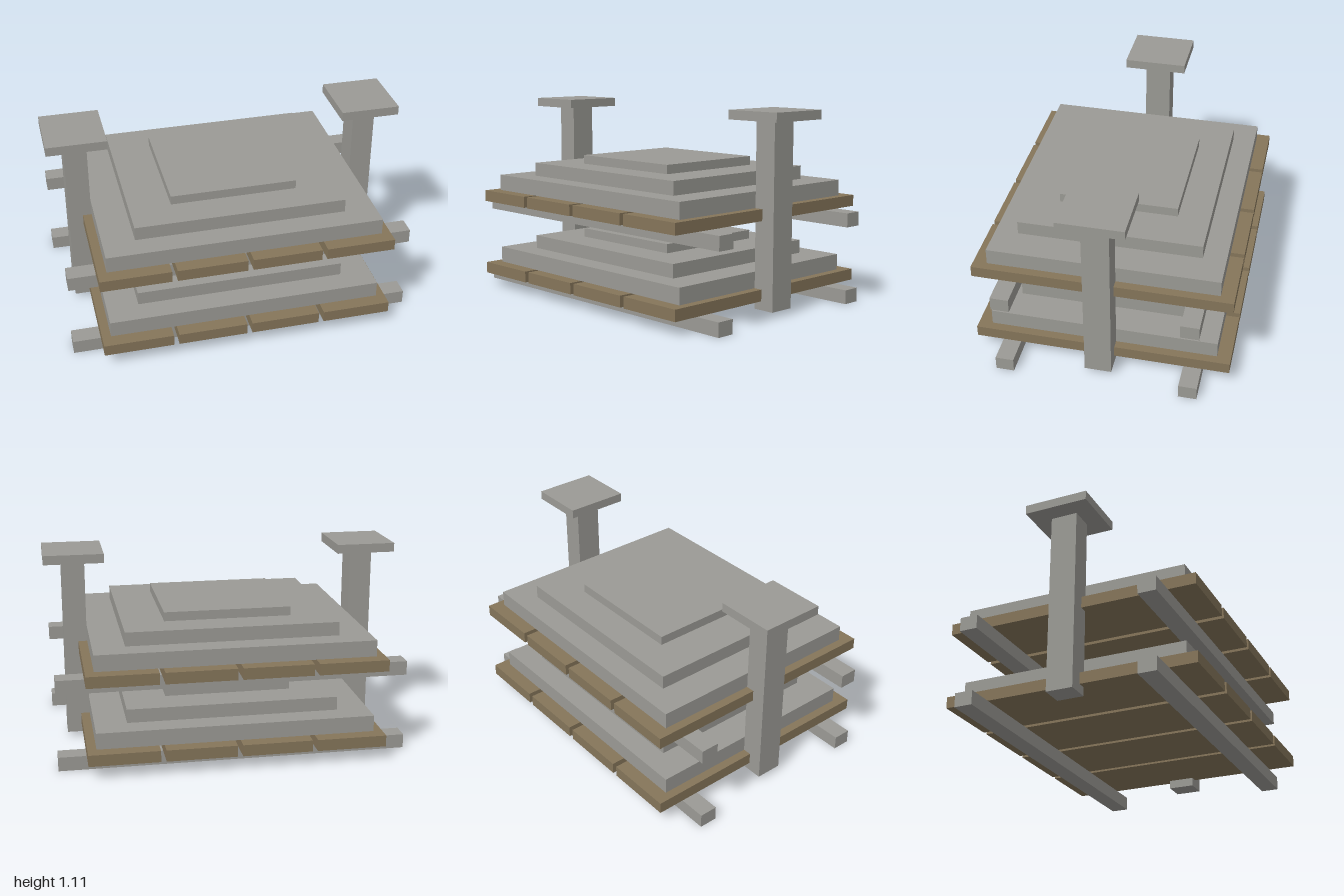
import * as THREE from 'three';

const stone = new THREE.MeshStandardMaterial({ color: 0x9b9a95 });
stone.name = 'grey';
const wood = new THREE.MeshStandardMaterial({ color: 0x85755a });
wood.name = 'brown wood';

// Box given by its centre in x and z, its size, and its bottom and top heights
function block(parent, name, material, x, z, width, depth, bottom, top) {
  const mesh = new THREE.Mesh(new THREE.BoxGeometry(width, top - bottom, depth), material);
  mesh.name = name;
  mesh.position.set(x, (bottom + top) / 2, z);
  parent.add(mesh);
}

// One tier: two rails, four planks and a stepped stack of slabs
function createTier(name, y) {
  const tier = new THREE.Group();
  tier.name = name;
  tier.position.y = y;
  for (const side of [1, -1]) {
    block(tier, 'rail', stone, 0, side * 0.514, 1.944, 0.102, 0, 0.079);
  }
  for (let i = 0; i < 4; i++) {
    block(tier, 'plank', wood, (i - 1.5) * 0.4165, 0, 0.387, 1.436, 0.079, 0.143);
  }
  block(tier, 'lowerSlab', stone, 0, 0, 1.538, 1.282, 0.143, 0.234);
  block(tier, 'middleSlab', stone, 0, 0, 1.182, 1.026, 0.234, 0.311);
  block(tier, 'upperSlab', stone, 0, 0, 0.714, 0.667, 0.311, 0.362);
  return tier;
}

export function createModel() {
  const model = new THREE.Group();
  model.name = 'slabRack';
  model.add(createTier('lowerTier', 0), createTier('upperTier', 0.437));

  // Capped posts on both sides
  for (const [name, side] of [['left', 1], ['right', -1]]) {
    block(model, name + 'Post', stone, side * 0.834, 0, 0.128, 0.15, 0.03, 1.054);
    block(model, name + 'PostCap', stone, side * 0.833, 0, 0.334, 0.36, 1.054, 1.105);
  }
  return model;
}
